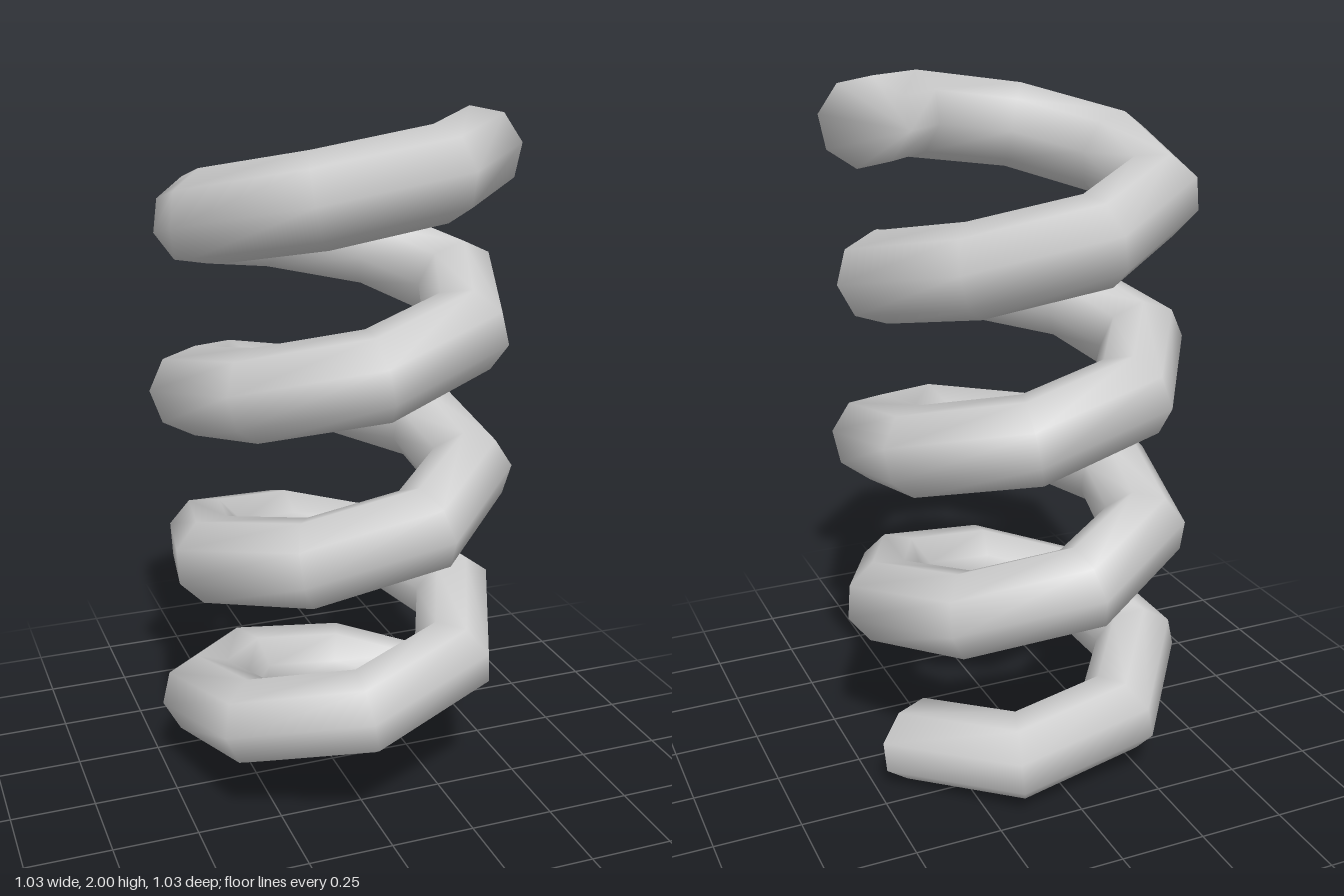
import * as THREE from 'three';

const SEGMENTS = 29, SIDES = 8;
const COIL_RADIUS = 0.395, WIRE_RADIUS = 0.126;
const START = -21, STEP = 48.35; // degrees
const RISE = 0.065; // height gained per segment

// Helix that levels off over the first and last two segments
class CoilCurve extends THREE.Curve {
  getPoint(t, target = new THREE.Vector3()) {
    const s = t * SEGMENTS;
    const climb = d => RISE * (d < 2 ? d * d / 4 : d - 1);
    const total = RISE * (SEGMENTS - 2);
    const y = s < SEGMENTS / 2 ? climb(s) : total - climb(SEGMENTS - s);
    const a = THREE.MathUtils.degToRad(START - STEP * s);
    return target.set(COIL_RADIUS * Math.cos(a), 0.123 + y, COIL_RADIUS * Math.sin(a));
  }
}

// Sweeps an octagonal ring along the curve and closes both ends
function sweep(curve) {
  const { normals, binormals } = curve.computeFrenetFrames(SEGMENTS, false);
  const positions = [], index = [];
  const phase = THREE.MathUtils.degToRad(-16);
  for (let i = 0; i <= SEGMENTS; i++) {
    const center = curve.getPointAt(i / SEGMENTS);
    for (let j = 0; j < SIDES; j++) {
      const a = phase + j / SIDES * Math.PI * 2;
      const p = center.clone()
        .addScaledVector(normals[i], WIRE_RADIUS * Math.cos(a))
        .addScaledVector(binormals[i], WIRE_RADIUS * Math.sin(a));
      positions.push(p.x, p.y, p.z);
    }
  }
  for (let i = 0; i < SEGMENTS; i++) {
    for (let j = 0; j < SIDES; j++) {
      const k = (j + 1) % SIDES;
      const a = i * SIDES + j, b = i * SIDES + k;
      index.push(a, b, a + SIDES, b, b + SIDES, a + SIDES);
    }
  }
  // End caps share the rim vertices, so shading flows over the edge
  const last = SEGMENTS * SIDES;
  for (let j = 1; j < SIDES - 1; j++) {
    index.push(0, j + 1, j);
    index.push(last, last + j, last + j + 1);
  }
  const geometry = new THREE.BufferGeometry();
  geometry.setAttribute('position', new THREE.Float32BufferAttribute(positions, 3));
  geometry.setIndex(index);
  geometry.computeVertexNormals();
  return geometry;
}

export function createModel() {
  const group = new THREE.Group();
  group.name = 'coilSpring';
  const coil = new THREE.Mesh(sweep(new CoilCurve()), new THREE.MeshStandardMaterial({ color: 0xcccccc }));
  coil.name = 'coil';
  group.add(coil);
  return group;
}
